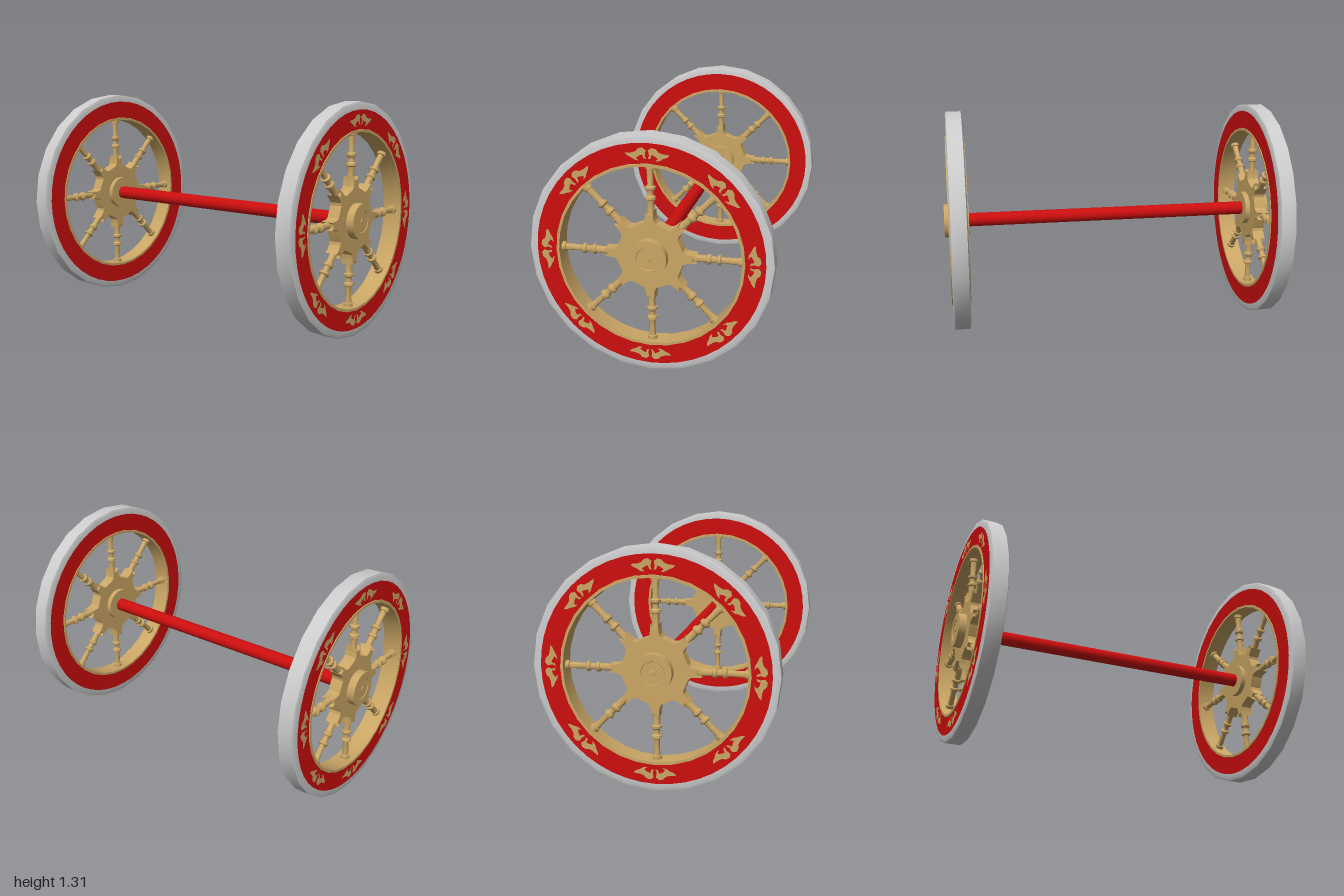
import * as THREE from 'three';
import { toCreasedNormals } from 'three/addons/utils/BufferGeometryUtils.js';

const gold = new THREE.MeshStandardMaterial({ color: 0xcaa665 });
gold.name = 'goldWood';
const red = new THREE.MeshStandardMaterial({ color: 0xcc0e0e });
red.name = 'redPaint';
const grey = new THREE.MeshStandardMaterial({ color: 0xcccccc });
grey.name = 'greyTyre';

const WHEEL_Y = 0.655, WHEEL_X = 0.92;

function mesh(name, geometry, material) {
  const m = new THREE.Mesh(geometry, material);
  m.name = name;
  return m;
}

// Turned shape from [radius, height] pairs, axis along y
function turned(points, sides) {
  const g = new THREE.LatheGeometry(points.map(([r, y]) => new THREE.Vector2(r, y)), sides);
  return toCreasedNormals(g, 0.6);
}

// Turned shape with its axis along the wheel axis, z
const ring = (points, sides) => turned(points, sides).rotateX(Math.PI / 2);

// Hub plate with eight collars that grip the spokes
function hubPlate() {
  const pts = [];
  const half = [[0.0, 0.225], [0.012, 0.228], [0.021, 0.245], [0.022, 0.215], [0.026, 0.19], [0.036, 0.176], [0.052, 0.17]];
  for (let i = 0; i < 8; i++) {
    const a = (i * Math.PI) / 4;
    const outline = [...half.slice(1).reverse().map(([u, r]) => [-u, r]), ...half];
    for (const [u, r] of outline) {
      pts.push(new THREE.Vector2(u * Math.cos(a) + r * Math.sin(a), -u * Math.sin(a) + r * Math.cos(a)));
    }
  }
  return new THREE.ExtrudeGeometry(new THREE.Shape(pts), { depth: 0.07, bevelEnabled: false }).translate(0, 0, -0.035);
}

// One leaf of the painted scrollwork on the rim
function leafShape(side) {
  const s = new THREE.Shape();
  const p = [[0.004, 0.53], [0.011, 0.548], [0.006, 0.575], [0.024, 0.588], [0.046, 0.583], [0.06, 0.567],
    [0.08, 0.56], [0.116, 0.556], [0.104, 0.543], [0.084, 0.535], [0.064, 0.523], [0.04, 0.519],
    [0.056, 0.534], [0.04, 0.546], [0.024, 0.552], [0.018, 0.533]];
  s.setFromPoints(p.map(([u, r]) => new THREE.Vector2(u * side, r)));
  return new THREE.ShapeGeometry(s);
}

// Spoke profile: hub end, two leafed cups, shaft and rim collar
const spokeProfile = [
  [0.022, 0.12], [0.026, 0.2], [0.02, 0.235], [0.019, 0.285], [0.021, 0.298], [0.028, 0.303],
  [0.027, 0.316], [0.018, 0.324], [0.016, 0.338], [0.018, 0.35], [0.027, 0.357], [0.028, 0.37],
  [0.018, 0.376], [0.0155, 0.385], [0.0185, 0.467], [0.026, 0.469], [0.026, 0.495],
];

function createWheel(name) {
  const wheel = new THREE.Group();
  wheel.name = name;

  wheel.add(mesh('tyre', ring([
    [0.6, -0.049], [0.64, -0.049], [0.655, -0.043], [0.655, 0.043], [0.64, 0.049], [0.6, 0.049], [0.6, -0.049],
  ], 24), grey));

  // Wooden inner rim with a narrow raised lip
  wheel.add(mesh('innerRim', ring([
    [0.49, -0.055], [0.505, -0.055], [0.507, -0.048], [0.507, 0.048], [0.505, 0.055], [0.49, 0.055], [0.49, -0.055],
  ], 32), gold));

  // Red band on both faces
  for (const s of [1, -1]) {
    const band = mesh(s > 0 ? 'outerRedBand' : 'innerRedBand', new THREE.RingGeometry(0.503, 0.612, 48), red);
    band.position.z = s * 0.051;
    if (s < 0) band.rotation.y = Math.PI;
    wheel.add(band);
  }

  wheel.add(mesh('hubPlate', hubPlate(), gold));
  wheel.add(mesh('hub', ring([
    [0, -0.065], [0.1, -0.065], [0.1, 0.08], [0.063, 0.08], [0.061, 0.076], [0.014, 0.076], [0.012, 0.08], [0, 0.08],
  ], 32), gold));

  // Spokes and the scrollwork at the end of each
  const spokeGeo = turned(spokeProfile, 12);
  const leafGeos = [leafShape(1), leafShape(-1)];
  for (let i = 0; i < 8; i++) {
    const a = (i * Math.PI) / 4;
    const spoke = mesh('spoke', spokeGeo, gold);
    spoke.rotation.z = a;
    wheel.add(spoke);
    for (const g of leafGeos) {
      const leaf = mesh('rimScroll', g, gold);
      leaf.rotation.z = a;
      leaf.position.z = 0.054;
      wheel.add(leaf);
    }
  }
  return wheel;
}

export function createModel() {
  const model = new THREE.Group();
  model.name = 'wheelsAndAxle';

  for (const s of [1, -1]) {
    const wheel = createWheel(s > 0 ? 'leftWheel' : 'rightWheel');
    wheel.position.set(s * WHEEL_X, WHEEL_Y, 0);
    wheel.rotation.y = (s * Math.PI) / 2;
    model.add(wheel);
  }

  const axle = mesh('axle', new THREE.CylinderGeometry(0.04, 0.04, 1.74, 24), red);
  axle.rotation.z = Math.PI / 2;
  axle.position.y = WHEEL_Y;
  model.add(axle);
  return model;
}
